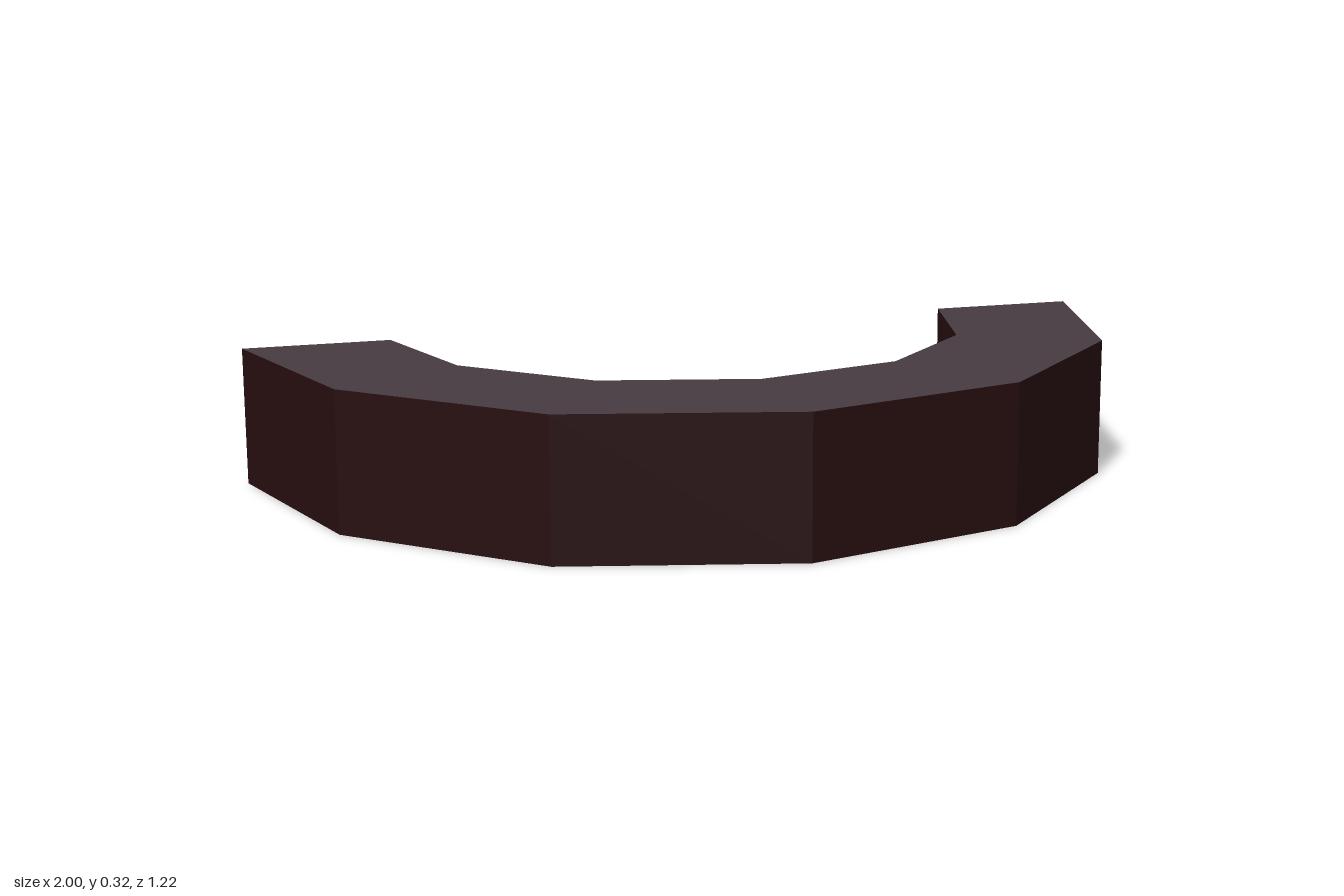
import * as THREE from 'three';

const HEIGHT = 0.316;

// Plan corners as [x, z], from the long end to the short end
const OUTER = [[-1, -0.61], [-0.975, -0.083], [-0.69, 0.362], [-0.22, 0.606], [0.31, 0.58], [0.755, 0.295], [1, -0.175]];
const INNER = [[-0.668, -0.54], [-0.652, -0.187], [-0.462, 0.112], [-0.146, 0.275], [0.207, 0.258], [0.503, 0.068], [0.665, -0.245]];

export function createModel() {
  const group = new THREE.Group();
  group.name = 'curvedCounter';

  const topMaterial = new THREE.MeshStandardMaterial({ color: 0x473b41 });
  topMaterial.name = 'greyPlum';
  const sideMaterial = new THREE.MeshStandardMaterial({ color: 0x270f10 });
  sideMaterial.name = 'darkBrown';

  // Faceted arc: flat caps in one colour, upright faces in the other
  const outline = [...OUTER, ...[...INNER].reverse()].map(([x, z]) => new THREE.Vector2(x, z));
  const geometry = new THREE.ExtrudeGeometry(new THREE.Shape(outline), { depth: HEIGHT, bevelEnabled: false });
  geometry.rotateX(Math.PI / 2);
  geometry.translate(0, HEIGHT, 0);

  const arc = new THREE.Mesh(geometry, [topMaterial, sideMaterial]);
  arc.name = 'counterArc';
  group.add(arc);
  return group;
}
